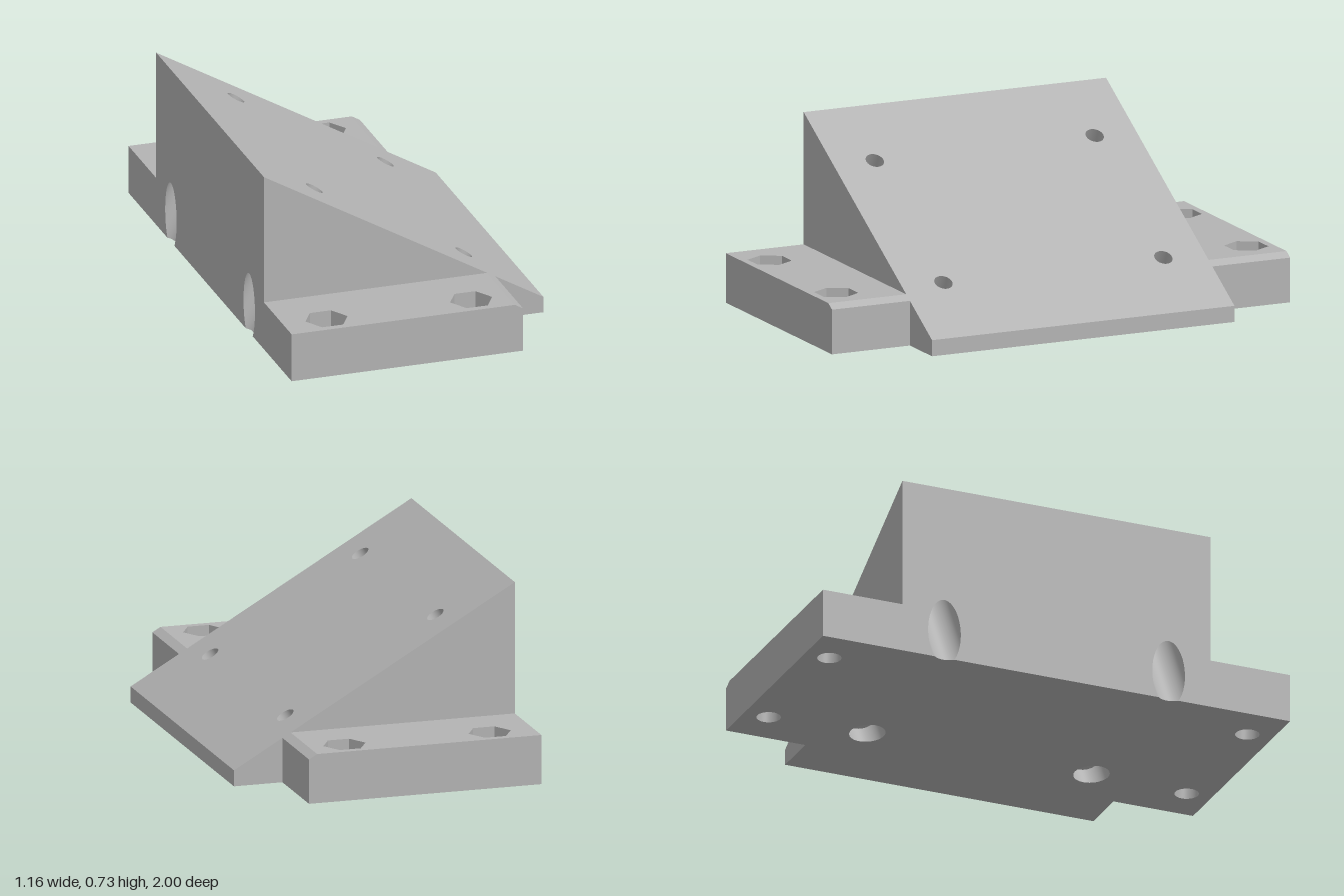
import * as THREE from 'three';
import { mergeGeometries } from 'three/addons/utils/BufferGeometryUtils.js';

const V = (x, y, z) => new THREE.Vector3(x, y, z);
const X = V(1, 0, 0), Y = V(0, 1, 0), Z = V(0, 0, 1);
const COS = Math.cos(Math.PI / 6), SIN = 0.5;
const DOWNHILL = V(COS, -SIN, 0);          // along the ramp
const BORE = V(-SIN, -COS, 0);             // into the ramp, square to it
const rampY = x => 0.4 - x * SIN / COS;

const BACK = -0.58, TOE = 0.58, HALF = 0.66, END = 1;
const FLANGE_X = 0.38, FLANGE_Y = 0.2, TRIM_X = (0.4 - FLANGE_Y) * COS / SIN;
const SCREW_X = [-0.31, 0.31], SCREW_Z = [-0.48, 0.48], SCREW_R = 0.037, HEAD_R = 0.07, SEAT = 0.13;
const BOLT_X = [-0.4, 0.2], BOLT_Z = 0.895, BOLT_R = 0.048, NUT_R = 0.087, NUT_FLOOR = 0.1;

// Flat face through 3D points; its normal is u x v
function face(u, v, outer, holes = []) {
  const n = u.clone().cross(v);
  const flat = pts => pts.map(p => new THREE.Vector2(p.dot(u), p.dot(v)));
  const shape = new THREE.Shape(flat(outer));
  holes.forEach(h => shape.holes.push(new THREE.Path(flat(h))));
  const m = new THREE.Matrix4().makeBasis(u, v, n).setPosition(n.clone().multiplyScalar(outer[0].dot(n)));
  return tidy(new THREE.ShapeGeometry(shape).applyMatrix4(m));
}

// Wall between two closed rings, facing the inside of the hole
function wall(a, b, smooth = true) {
  const n = a.length, index = [];
  for (let i = 0; i < n; i++) {
    const j = (i + 1) % n;
    index.push(i, n + i, j, j, n + i, n + j);
  }
  let g = new THREE.BufferGeometry().setFromPoints([...a, ...b]);
  g.setIndex(index);
  if (!smooth) g = g.toNonIndexed();
  g.computeVertexNormals();
  return tidy(g);
}

function tidy(g) {
  g.deleteAttribute('uv');
  return g.index ? g.toNonIndexed() : g;
}

function angles(from, to) {
  const n = Math.ceil(Math.abs(to - from) / (Math.PI * 2) * 56 - 1e-6);
  return Array.from({ length: n }, (_, i) => from + (to - from) * i / n);
}

const ring = (c, u, v, r, list) =>
  list.map(t => c.clone().addScaledVector(u, r * Math.cos(t)).addScaledVector(v, r * Math.sin(t)));

// Carry ramp points along the bore until they leave by the back or the base
const leave = pts => pts.map(p => {
  const toBase = p.y / COS, toBack = (p.x - BACK) / SIN;
  const q = p.clone().addScaledVector(BORE, Math.min(toBase, toBack));
  if (toBase <= toBack + 1e-6) q.y = 0;
  if (toBack <= toBase + 1e-6) q.x = BACK;
  return q;
});

function buildWedge() {
  const parts = [], rampHoles = [], baseHoles = [];
  const backEdge = [V(BACK, 0, -HALF)], baseEdge = [];
  for (const z of SCREW_Z) for (const x of SCREW_X) {
    const c = V(x, rampY(x), z);
    // Angle at which the head bore crosses the lower back edge
    const k = (c.y * SIN - (x - BACK) * COS) / HEAD_R;
    const split = Math.abs(k) < 1 ? Math.acos(k) : 0;
    const list = split
      ? [...angles(split, Math.PI * 2 - split), ...angles(-split, split)]
      : angles(0, Math.PI * 2);
    const mouth = ring(c, DOWNHILL, Z, SCREW_R, list);
    const sunk = c.clone().addScaledVector(BORE, SEAT);
    const seatIn = ring(sunk, DOWNHILL, Z, SCREW_R, list);
    const seatOut = ring(sunk, DOWNHILL, Z, HEAD_R, list);
    const exit = leave(ring(c, DOWNHILL, Z, HEAD_R, list));
    parts.push(wall(mouth, seatIn), wall(seatIn, seatOut), wall(seatOut, exit));
    rampHoles.push(mouth);
    if (split) {
      const arc = (a, b) => leave(ring(c, DOWNHILL, Z, HEAD_R, [...angles(a, b), b]));
      backEdge.push(...arc(Math.PI * 2 - split, split));
      baseEdge.push(...arc(-split, split));
    } else baseHoles.push(exit);
  }
  backEdge.push(V(BACK, 0, HALF), V(BACK, rampY(BACK), HALF), V(BACK, rampY(BACK), -HALF));

  // Ramp, back, base and toe
  const across = (x, y) => [V(x, y, -HALF), V(x, y, HALF)];
  const [t0, t1] = across(BACK, rampY(BACK)), [f0, f1] = across(TOE, rampY(TOE)), [g0, g1] = across(TOE, 0);
  parts.push(face(Z, DOWNHILL, [t0, t1, f1, f0], rampHoles));
  parts.push(face(Z, Y, backEdge));
  parts.push(face(X, Z, [V(BACK, 0, -HALF), ...baseEdge, V(BACK, 0, HALF), g1, g0], baseHoles));
  parts.push(face(Y, Z, [g0, f0, f1, g1]));

  // Cheeks above and in front of the flanges
  for (const s of [-1, 1]) {
    const at = (x, y) => V(x, y, s * HALF), [u, v] = s > 0 ? [X, Y] : [Y, X];
    parts.push(face(u, v, [at(BACK, FLANGE_Y), at(TRIM_X, FLANGE_Y), at(BACK, rampY(BACK))]));
    parts.push(face(u, v, [at(FLANGE_X, 0), at(TOE, 0), at(TOE, rampY(TOE)), at(FLANGE_X, rampY(FLANGE_X))]));
  }
  return mergeGeometries(parts);
}

function buildFlange(s) {
  const parts = [], nuts = [], bolts = [];
  const round = angles(0, Math.PI * 2), six = [0, 1, 2, 3, 4, 5].map(i => i * Math.PI / 3);
  for (const x of BOLT_X) {
    const hole = (y, r, list) => ring(V(x, y, s * BOLT_Z), X, Z, r, list);
    const nutTop = hole(FLANGE_Y, NUT_R, six), nutFloor = hole(NUT_FLOOR, NUT_R, six);
    const boltTop = hole(NUT_FLOOR, BOLT_R, round), boltEnd = hole(0, BOLT_R, round);
    parts.push(wall(nutTop, nutFloor, false), face(Z, X, nutFloor, [boltTop]), wall(boltTop, boltEnd));
    nuts.push(nutTop);
    bolts.push(boltEnd);
  }
  // Strip between two profile points, from the wedge to the outer end
  const strip = (u, v, a, b, holes) => face(u, v, [
    V(...a, s * HALF), V(...b, s * HALF), V(...b, s * END), V(...a, s * END)], holes);
  const profile = [[BACK, 0], [FLANGE_X, 0], [FLANGE_X, rampY(FLANGE_X)], [TRIM_X, FLANGE_Y], [BACK, FLANGE_Y]];
  const [a, b, c, d, e] = profile;
  parts.push(strip(X, Z, a, b, bolts), strip(Y, Z, b, c), strip(Z, DOWNHILL, c, d),
    strip(Z, X, d, e, nuts), strip(Z, Y, e, a));
  const [u, v] = s > 0 ? [X, Y] : [Y, X];
  parts.push(face(u, v, profile.map(p => V(...p, s * END))));
  return mergeGeometries(parts);
}

export function createModel() {
  const grey = new THREE.MeshStandardMaterial({ color: 0xb3b3b3 });
  grey.name = 'grey';
  const model = new THREE.Group();
  model.name = 'angledMount';
  const add = (name, geometry) => {
    const mesh = new THREE.Mesh(geometry, grey);
    mesh.name = name;
    model.add(mesh);
  };
  add('wedge', buildWedge());
  add('frontFlange', buildFlange(1));
  add('backFlange', buildFlange(-1));
  return model;
}
